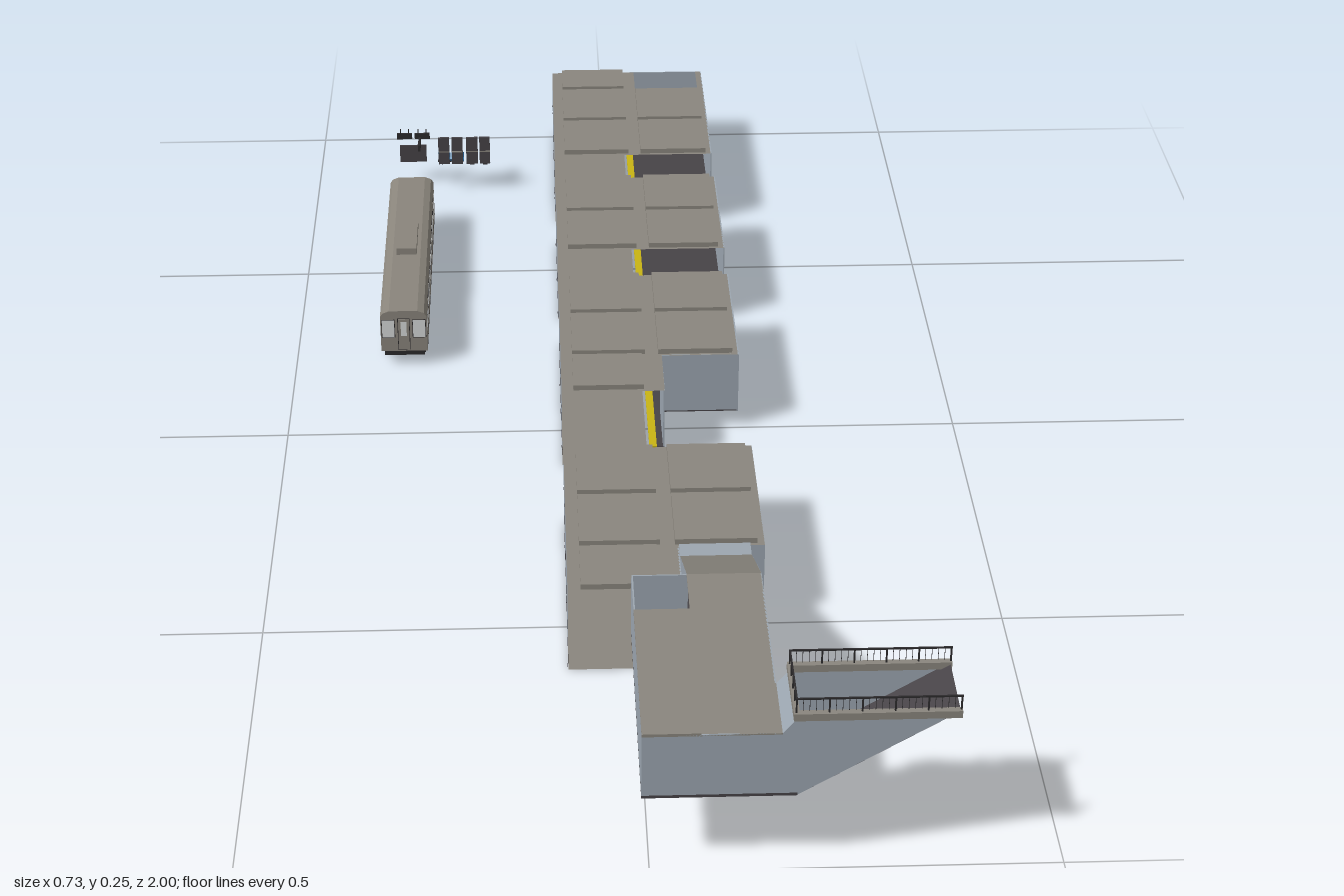
import * as THREE from 'three';

const mat = (name, color, side = THREE.FrontSide) => {
  const m = new THREE.MeshStandardMaterial({ color, side });
  m.name = name;
  return m;
};
const tile = mat('blue grey tile', 0x9ca6b0, THREE.DoubleSide);
const concrete = mat('warm grey concrete', 0x8a867e, THREE.DoubleSide);
const dark = mat('dark floor', 0x474347, THREE.DoubleSide);
const yellow = mat('safety yellow', 0xc8b414);
const steel = mat('train steel', 0x8a857c);
const glass = mat('pale glass', 0xd6d8d8);
const black = mat('black iron', 0x2c2a2c);
const blue = mat('sign blue', 0x2c6aa0);

// Box from its limits
function box(parent, name, m, x0, x1, y0, y1, z0, z1) {
  const mesh = new THREE.Mesh(new THREE.BoxGeometry(x1 - x0, y1 - y0, z1 - z0), m);
  mesh.position.set((x0 + x1) / 2, (y0 + y1) / 2, (z0 + z1) / 2);
  mesh.name = name;
  parent.add(mesh);
}

// Four-cornered sheet
function quad(parent, name, m, a, b, c, d) {
  const g = new THREE.BufferGeometry();
  g.setAttribute('position', new THREE.Float32BufferAttribute([a, b, c, a, c, d].flat(), 3));
  g.computeVertexNormals();
  const mesh = new THREE.Mesh(g, m);
  mesh.name = name;
  parent.add(mesh);
}

// Level sheet facing up, and upright sheet facing -x
const level = (parent, name, m, x0, x1, y, z0, z1) =>
  quad(parent, name, m, [x0, y, z0], [x0, y, z1], [x1, y, z1], [x1, y, z0]);
const upright = (parent, name, m, x, y0, y1, z0, z1) =>
  quad(parent, name, m, [x, y0, z0], [x, y0, z1], [x, y1, z1], [x, y1, z0]);

// Flat wall from an outline; across = true lays the outline in (z, y)
function wall(parent, name, m, points, at, across) {
  const shape = new THREE.Shape(points.map(p => new THREE.Vector2(...p)));
  const g = new THREE.ExtrudeGeometry(shape, { depth: 0.002, bevelEnabled: false });
  const mesh = new THREE.Mesh(g, m);
  if (across) { mesh.rotation.y = -Math.PI / 2; mesh.position.x = at; } else mesh.position.z = at - 0.002;
  mesh.name = name;
  parent.add(mesh);
}

function group(parent, name) {
  const g = new THREE.Group();
  g.name = name;
  parent.add(g);
  return g;
}

const L = -0.09, R = 0.175, EDGE = 0.04, FLOOR = 0.03, TOP = 0.126;

// One length of track, platform and walls; inner is the platform side limit
function stationLength(parent, z0, z1, inner, bays) {
  upright(parent, 'trackWall', tile, L, 0.026, TOP, z0, z1);
  upright(parent, 'trackWallBase', dark, L, 0, 0.026, z0, z1);
  level(parent, 'trackBed', concrete, L, EDGE - 0.004, 0.001, z0, z1);
  upright(parent, 'platformFace', steel, EDGE, 0, FLOOR, z0, z1);
  box(parent, 'platformFloor', dark, EDGE, inner, FLOOR - 0.002, FLOOR, z0, z1);
  box(parent, 'platformEdge', yellow, EDGE - 0.002, EDGE + 0.009, FLOOR - 0.0025, FLOOR + 0.001, z0, z1);
  box(parent, 'platformWall', tile, inner - 0.002, inner, FLOOR - 0.003, TOP, z0, z1);
  const step = (z1 - z0) / bays;
  for (let i = 0; i <= bays; i++) {
    const z = Math.min(Math.max(z0 + i * step, z0 + 0.003), z1 - 0.003);
    upright(parent, 'pillar', dark, L - 0.0008, 0, TOP, z - 0.003, z + 0.003);
  }
}

function roof(parent, x0, x1, z0, z1, rows, columns) {
  level(parent, 'roof', concrete, x0, x1, TOP, z0, z1);
  const step = (z1 - z0) / rows;
  for (let i = 0; i < rows; i++)
    for (const [a, b] of columns)
      box(parent, 'roofPanel', concrete, a, b, TOP, 0.134, z0 + i * step + 0.005, z0 + (i + 1) * step - 0.005);
}

function buildStation(root) {
  const both = [[-0.073, 0.035], [0.055, 0.165]], one = [[-0.073, 0.03]];
  // Closed back section with an uncovered stairwell
  const a = group(root, 'backSection');
  stationLength(a, -1, -0.67, R, 3);
  roof(a, L, R, -0.92, -0.67, 2, both);
  roof(a, L, 0.055, -1, -0.92, 1, [[-0.073, 0.035]]);
  level(a, 'roofKerb', concrete, 0.165, R, TOP, -1, -0.92);
  box(a, 'endWall', tile, EDGE, R, FLOOR, TOP, -1, -0.998);
  // Plain middle section
  const b = group(root, 'middleSection');
  stationLength(b, -0.585, -0.335, R, 2);
  roof(b, L, R, -0.585, -0.335, 2, both);
  // Two end sections with a narrow track tunnel
  [[-0.25, 'frontSection', 0.06], [0.25, 'stairSection', 0.155]].forEach(([z, name, wallStart]) => {
    const s = group(root, name), z1 = z + 0.247, z2 = z + 0.347;
    stationLength(s, z, z1, R, 2);
    roof(s, L, R, z, z1, 2, both);
    box(s, 'endWall', tile, wallStart, R, FLOOR, TOP, z1 - 0.002, z1);
    stationLength(s, z1, z2, 0.06, 1);
    roof(s, L, 0.06, z1, z2, 1, one);
  });
}

function buildExit(root) {
  const g = group(root, 'exitPassage');
  const x0 = -0.01, xa = 0.06, xb = 0.155, yF = 0.113, yT = 0.202, zE = 0.996;
  // Lower stairs and sloping corridor
  const n = 12;
  for (let i = 0; i < n; i++) {
    const y = FLOOR + i * (yF - FLOOR) / n, z = 0.525 + i * 0.145 / n;
    box(g, 'lowerStep', dark, xa, xb, y - 0.001, y + 0.007, z, z + 0.0135);
  }
  box(g, 'stairFoot', dark, xa, xb, FLOOR - 0.002, FLOOR, 0.495, 0.525);
  const slope = [[0.497, FLOOR - 0.001], [0.528, FLOOR - 0.001], [0.67, yF - 0.003]];
  const slopeTop = [[0.67, yT], [0.525, 0.13], [0.497, 0.13]];
  wall(g, 'corridorWall', tile, [...slope, ...slopeTop], xa + 0.002, true);
  wall(g, 'corridorWall', tile, [...slope, [0.9, yF - 0.003], [0.9, yT], ...slopeTop], xb, true);
  quad(g, 'slopingRoof', concrete, [xa, 0.13, 0.525], [xa, yT, 0.67], [xb, yT, 0.67], [xb, 0.13, 0.525]);
  level(g, 'lowRoof', tile, xa, xb, 0.13, 0.497, 0.525);
  // Upper hall
  box(g, 'hallFloor', dark, x0, xb + 0.02, yF - 0.004, yF, 0.9, zE);
  box(g, 'hallFloor', dark, x0, xb, yF - 0.004, yF, 0.67, 0.9);
  box(g, 'hallRoof', concrete, xa, xb, yT - 0.002, yT, 0.67, zE);
  box(g, 'hallRoof', concrete, x0, xa, yT - 0.002, yT + 0.002, 0.747, zE);
  box(g, 'hallSideWall', tile, x0, x0 + 0.002, yF - 0.003, yT, 0.67, zE);
  box(g, 'hallBackWall', tile, x0, xa, yF - 0.003, yT, 0.67, 0.672);
  // Street stairway between two raking walls
  const rake = [[xb, yF - 0.003], [0.175, yF - 0.003], [0.352, 0.223], [0.172, 0.223], [xb, yT]];
  wall(g, 'stairBackWall', tile, rake, 0.902, false);
  wall(g, 'frontWall', tile, [[x0, yF - 0.003], ...rake.slice(1), [x0, yT]], zE, false);
  quad(g, 'streetStairway', dark, [0.175, yF - 0.003, 0.9], [0.175, yF - 0.003, zE],
    [0.362, 0.229, zE], [0.362, 0.229, 0.9]);
  quad(g, 'stairHeadWall', tile, [xb, yT, 0.9], [xb, yT, zE], [0.172, 0.223, zE], [0.172, 0.223, 0.9]);
  // Kerb and railings round the street opening
  const rails = group(g, 'streetRailing');
  for (const z of [0.902, zE]) {
    box(rails, 'kerb', concrete, 0.169, 0.364, 0.222, 0.232, z - 0.004, z + 0.004);
    box(rails, 'topRail', black, 0.169, 0.364, 0.2505, 0.2525, z - 0.001, z + 0.001);
    for (let i = 0; i <= 5; i++) {
      const x = 0.17 + i * 0.0385;
      box(rails, 'post', black, x - 0.001, x + 0.001, 0.232, 0.252, z - 0.001, z + 0.001);
      if (i < 5) for (let k = 1; k <= 4; k++) {
        const bx = x + k * 0.0077;
        box(rails, 'baluster', black, bx - 0.0003, bx + 0.0003, 0.234, 0.25, z - 0.0003, z + 0.0003);
      }
    }
  }
  box(rails, 'endKerb', concrete, 0.167, 0.174, 0.222, 0.232, 0.898, 1);
  box(rails, 'endRail', black, 0.169, 0.171, 0.2505, 0.2525, 0.902, zE);
  for (const z of [0.925, 0.949, 0.973]) box(rails, 'endPost', black, 0.169, 0.171, 0.232, 0.25, z - 0.001, z + 0.001);
}

function buildTrain(root) {
  const g = group(root, 'train');
  g.position.set(-0.331, 0, -0.43);
  // Body with chamfered roof shoulders
  const half = [[0.036, 0.025], [0.036, 0.086], [0.032, 0.092], [0.022, 0.096]];
  const outline = [...half, ...half.slice().reverse().map(([x, y]) => [-x, y])];
  const body = new THREE.Mesh(new THREE.ExtrudeGeometry(
    new THREE.Shape(outline.map(p => new THREE.Vector2(...p))), { depth: 0.456, bevelEnabled: false }), steel);
  body.position.z = -0.228;
  body.name = 'body';
  g.add(body);
  box(g, 'roofUnit', steel, -0.016, 0.016, 0.095, 0.107, -0.05, 0.045);
  box(g, 'underframe', black, -0.031, 0.031, 0.016, 0.025, -0.225, 0.225);
  // Bogies and wheels
  for (const zc of [-0.155, 0.155]) {
    for (const s of [-1, 1]) {
      box(g, 'bogieFrame', black, s * 0.026 - 0.006, s * 0.026 + 0.006, 0.006, 0.018, zc - 0.045, zc + 0.045);
      for (const dz of [-0.026, 0.026]) {
        const w = new THREE.Mesh(new THREE.CylinderGeometry(0.009, 0.009, 0.011, 12), black);
        w.rotation.z = Math.PI / 2;
        w.position.set(s * 0.0255, 0.009, zc + dz);
        w.name = 'wheel';
        g.add(w);
      }
    }
  }
  // Side doors and windows
  for (const s of [-1, 1]) {
    const plate = (name, m, z, w, y0, y1, out) =>
      box(g, name, m, s * 0.036 - out, s * 0.036 + out, y0, y1, z - w / 2, z + w / 2);
    for (const z of [-0.165, -0.055, 0.055, 0.165]) {
      plate('doorFrame', black, z, 0.034, 0.028, 0.083, 0.0002);
      for (const d of [-0.008, 0.008]) {
        plate('doorLeaf', steel, z + d, 0.0145, 0.029, 0.082, 0.0004);
        plate('doorGlass', glass, z + d, 0.008, 0.052, 0.077, 0.0006);
      }
    }
    for (const z of [-0.11, 0, 0.11]) {
      plate('windowFrame', black, z, 0.058, 0.05, 0.08, 0.0002);
      for (const d of [-0.014, 0.014]) plate('window', glass, z + d, 0.025, 0.052, 0.078, 0.0004);
    }
    for (const z of [-0.206, 0.206]) plate('cabWindow', glass, z, 0.02, 0.052, 0.078, 0.0004);
    plate('sill', black, 0, 0.456, 0.0255, 0.0275, 0.0002);
  }
  // Cab ends
  for (const s of [-1, 1]) {
    const plate = (name, m, x, w, y0, y1, out) =>
      box(g, name, m, x - w / 2, x + w / 2, y0, y1, s * 0.228 - out, s * 0.228 + out);
    for (const x of [-0.024, 0.024]) {
      plate('endWindowFrame', black, x, 0.021, 0.049, 0.081, 0.0004);
      plate('endWindow', glass, x, 0.019, 0.05, 0.08, 0.0008);
    }
    plate('endDoorFrame', black, 0, 0.019, 0.027, 0.083, 0.0004);
    plate('endDoor', steel, 0, 0.017, 0.028, 0.082, 0.0008);
    plate('endDoorGlass', glass, 0, 0.009, 0.052, 0.077, 0.0012);
  }
}

// Loose station furniture beside the train
function buildFurniture(root) {
  const g = group(root, 'stationFurniture');
  for (const [a, b] of [[-0.29, -0.271], [-0.267, -0.248], [-0.242, -0.222], [-0.219, -0.201]]) {
    box(g, 'gatePanel', dark, a, b, 0.052, 0.102, -0.797, -0.793);
    box(g, 'gateBar', concrete, a, b, 0.075, 0.077, -0.7925, -0.792);
  }
  for (const x of [-0.233, -0.21]) {
    box(g, 'bin', black, x - 0.007, x + 0.007, 0.042, 0.054, -0.834, -0.822);
    box(g, 'binFoot', black, x - 0.004, x + 0.004, 0.035, 0.042, -0.832, -0.824);
  }
  box(g, 'barrier', black, -0.208, -0.203, 0.04, 0.07, -0.842, -0.818);
  // Row of seats
  for (let i = 0; i < 4; i++) {
    const x = -0.287 + i * 0.0115;
    box(g, 'seat', blue, x - 0.005, x + 0.005, 0.042, 0.0445, -0.835, -0.825);
    box(g, 'seatBack', blue, x - 0.005, x + 0.005, 0.0445, 0.053, -0.837, -0.835);
  }
  box(g, 'seatBeam', black, -0.293, -0.247, 0.039, 0.042, -0.832, -0.828);
  for (const x of [-0.285, -0.255]) box(g, 'seatLeg', black, x - 0.001, x + 0.001, 0.035, 0.04, -0.834, -0.826);
  // Notice board with a blue back
  box(g, 'noticeBoard', dark, -0.358, -0.312, 0.04, 0.072, -0.83, -0.828);
  box(g, 'noticeBoardBack', blue, -0.357, -0.313, 0.041, 0.071, -0.832, -0.83);
  // Hanging signs
  for (const x of [-0.349, -0.3185]) {
    box(g, 'hangingSign', black, x - 0.013, x + 0.013, 0.084, 0.094, -0.832, -0.828);
    for (const d of [-0.007, 0.007]) box(g, 'hanger', black, x + d - 0.0008, x + d + 0.0008, 0.094, 0.102, -0.831, -0.829);
  }
  box(g, 'crossSign', black, -0.325, -0.321, 0.075, 0.087, -0.828, -0.797);
}

export function createModel() {
  const root = new THREE.Group();
  root.name = 'undergroundStation';
  buildStation(root);
  buildExit(root);
  buildTrain(root);
  buildFurniture(root);
  return root;
}
